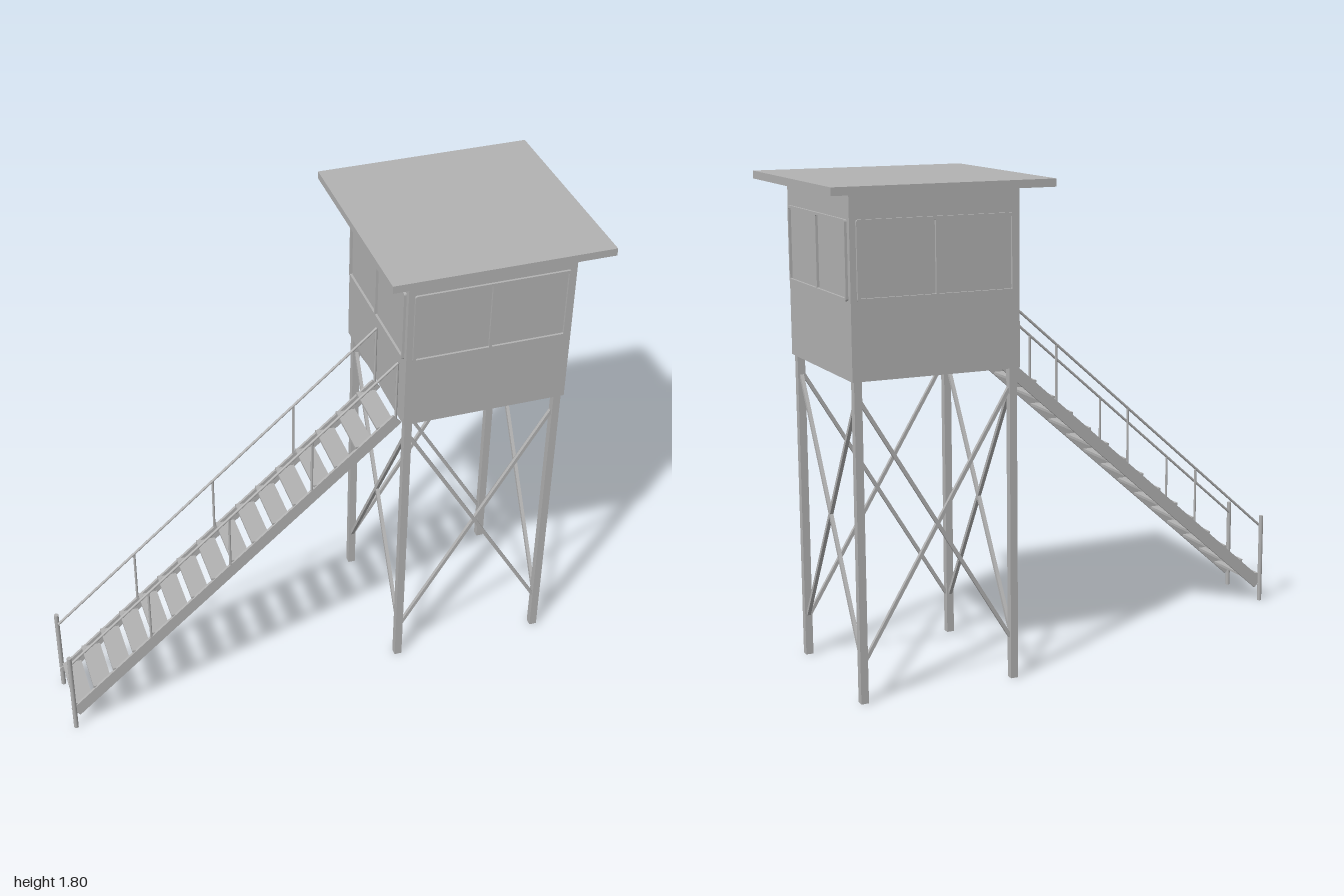
import * as THREE from 'three';

const grey = new THREE.MeshStandardMaterial({ color: 0xb2b2b2 });
grey.name = 'paintedGrey';

const CX = 0.593;        // cabin centre
const HALF = 0.31;       // cabin half width
const FLOOR = 1.14, ROOF = 1.772;

function add(parent, name, geometry, x = 0, y = 0, z = 0) {
  const mesh = new THREE.Mesh(geometry, grey);
  mesh.name = name;
  mesh.position.set(x, y, z);
  parent.add(mesh);
  return mesh;
}

// Straight bar between two points; round when no depth is given
function bar(parent, name, a, b, width, depth) {
  const from = new THREE.Vector3(...a), to = new THREE.Vector3(...b);
  const dir = to.clone().sub(from), length = dir.length();
  const geometry = depth
    ? new THREE.BoxGeometry(width, length, depth)
    : new THREE.CylinderGeometry(width / 2, width / 2, length, 10);
  const mesh = add(parent, name, geometry);
  mesh.position.copy(from).add(to).multiplyScalar(0.5);
  mesh.quaternion.setFromUnitVectors(new THREE.Vector3(0, 1, 0), dir.normalize());
  return mesh;
}

// Rectangle with softened corners, as a shape or a hole
function roundRect(path, x0, y0, x1, y1, r) {
  path.moveTo(x0 + r, y0);
  path.lineTo(x1 - r, y0);
  path.quadraticCurveTo(x1, y0, x1, y0 + r);
  path.lineTo(x1, y1 - r);
  path.quadraticCurveTo(x1, y1, x1 - r, y1);
  path.lineTo(x0 + r, y1);
  path.quadraticCurveTo(x0, y1, x0, y1 - r);
  path.lineTo(x0, y0 + r);
  path.quadraticCurveTo(x0, y0, x0 + r, y0);
  return path;
}

function windowFrameGeometry() {
  const w = 0.288, h = 0.136, t = 0.01;
  const shape = roundRect(new THREE.Shape(), -w, -h, w, h, 0.008);
  shape.holes.push(roundRect(new THREE.Path(), -w + t, -h + t, -t / 2, h - t, 0.003));
  shape.holes.push(roundRect(new THREE.Path(), t / 2, -h + t, w - t, h - t, 0.003));
  return new THREE.ExtrudeGeometry(shape, { depth: 0.009, bevelEnabled: false, curveSegments: 3 });
}

function buildCabin() {
  const cabin = new THREE.Group();
  cabin.name = 'cabin';
  cabin.position.x = CX;
  add(cabin, 'cabinWalls', new THREE.BoxGeometry(HALF * 2, ROOF - FLOOR, HALF * 2), 0, (FLOOR + ROOF) / 2, 0);
  add(cabin, 'roof', new THREE.BoxGeometry(0.81, 0.028, 0.81), 0, ROOF + 0.014, 0);
  // One double window on each wall
  const frame = windowFrameGeometry();
  for (let i = 0; i < 4; i++) {
    const angle = i * Math.PI / 2;
    const mesh = add(cabin, 'windowFrame', frame, Math.sin(angle) * HALF, 1.547, Math.cos(angle) * HALF);
    mesh.rotation.y = angle;
  }
  return cabin;
}

function buildSupports() {
  const supports = new THREE.Group();
  supports.name = 'supports';
  supports.position.x = CX;
  const d = 0.288, e = 0.276, low = 0.157, high = 1.066;
  for (const sx of [-1, 1]) for (const sz of [-1, 1])
    add(supports, 'leg', new THREE.BoxGeometry(0.028, FLOOR, 0.028), sx * d, FLOOR / 2, sz * d);
  // Crossed braces on all four sides
  for (const side of [-1, 1]) for (const lean of [-1, 1]) {
    bar(supports, 'crossBrace', [-lean * e, low, side * d], [lean * e, high, side * d], 0.013, 0.013);
    bar(supports, 'crossBrace', [side * d, low, -lean * e], [side * d, high, lean * e], 0.013, 0.013);
  }
  return supports;
}

function buildStairs() {
  const stairs = new THREE.Group();
  stairs.name = 'stairs';
  stairs.position.z = 0.19;
  const x0 = -0.983, y0 = 0.072, x1 = 0.26, y1 = 1.17;
  const slope = (y1 - y0) / (x1 - x0);
  const centreY = x => y0 + (x - x0) * slope;
  const railY = x => 0.322 + (x + 0.98) * 0.8825;

  // Treads
  for (let i = 0; i < 16; i++) {
    const x = -0.95 + i * 0.078;
    add(stairs, 'tread', new THREE.BoxGeometry(0.072, 0.009, 0.226), x, 0.109 + i * 0.0688, 0);
  }

  // Stringer, handrail and posts on each side
  for (const side of [-1, 1]) {
    const z = side * 0.113;
    bar(stairs, 'stringer', [x0, y0, z], [x1, y1, z], 0.046, 0.01);
    bar(stairs, 'handrail', [-0.985, railY(-0.985), z], [0.257, railY(0.257), z], 0.01);
    for (let i = 0; i < 4; i++) {
      const x = -0.677 + i * 0.3105;
      bar(stairs, 'railPost', [x, centreY(x), z], [x, railY(x), z], 0.009);
    }
    bar(stairs, 'bottomPost', [-0.989, 0, side * 0.121], [-0.989, 0.358, side * 0.121], 0.018);
  }
  return stairs;
}

export function createModel() {
  const model = new THREE.Group();
  model.name = 'watchtower';
  model.add(buildCabin(), buildSupports(), buildStairs());
  return model;
}
